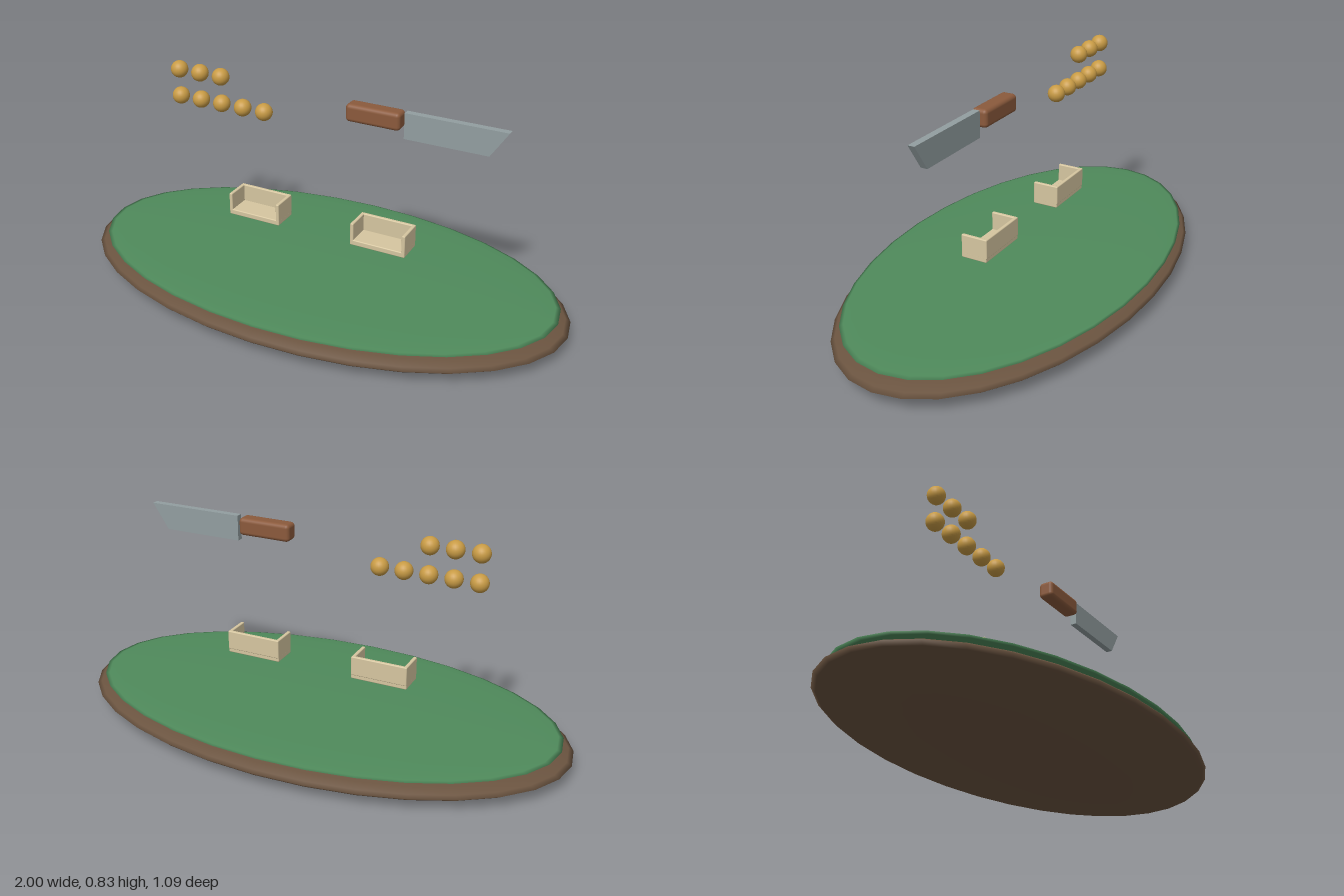
import * as THREE from 'three';
import { RoundedBoxGeometry } from 'three/addons/geometries/RoundedBoxGeometry.js';

const mat = (color) => new THREE.MeshStandardMaterial({ color });

export function createModel() {
  const model = new THREE.Group();
  const add = (name, geometry, material, x, y, z, parent = model) => {
    const mesh = new THREE.Mesh(geometry, material);
    mesh.name = name;
    mesh.position.set(x, y, z);
    parent.add(mesh);
    return mesh;
  };

  // Oval table: flattened ellipsoids for the wooden base and the felt
  const oval = (rx, ry, rz) => new THREE.SphereGeometry(1, 32, 16).scale(rx, ry, rz);
  add('tableBase', oval(1, 0.057, 0.545), mat(0x6b5440), 0, 0.058, 0);
  add('tableFelt', oval(0.96, 0.016, 0.52), mat(0x4f8a5b), 0, 0.105, 0);

  // Two open-fronted trays: floor, back wall and two end walls
  const cream = mat(0xd6c6a0);
  for (const side of [-1, 1]) {
    const tray = new THREE.Group();
    tray.name = side < 0 ? 'rightTray' : 'leftTray';
    tray.position.set(side * 0.267, 0, 0);
    model.add(tray);
    add('trayFloor', new RoundedBoxGeometry(0.225, 0.022, 0.104, 2, 0.004), cream, 0, 0.256, 0, tray);
    add('trayBack', new RoundedBoxGeometry(0.225, 0.076, 0.014, 2, 0.004), cream, 0, 0.298, -0.047, tray);
    for (const end of [-1, 1]) {
      add('trayEnd', new RoundedBoxGeometry(0.014, 0.076, 0.104, 2, 0.004), cream, end * 0.1055, 0.298, 0, tray);
    }
  }

  // Floating balls: a row of five below a row of three
  const gold = mat(0xc89b45);
  const ball = new THREE.SphereGeometry(0.034, 24, 16);
  for (const [count, y] of [[5, 0.692], [3, 0.801]]) {
    for (let i = 0; i < count; i++) add('ball', ball, gold, -0.617 + i * 0.0943, y, 0);
  }

  // Floating knife: rounded handle and a blade with a slanted tip
  const knife = new THREE.Group();
  knife.name = 'knife';
  model.add(knife);
  add('knifeHandle', new RoundedBoxGeometry(0.213, 0.068, 0.062, 3, 0.015), mat(0x8b5a3c), 0.223, 0.769, 0, knife);
  const outline = new THREE.Shape([[0.342, 0.706], [0.66, 0.706], [0.725, 0.805], [0.342, 0.805]]
    .map(([x, y]) => new THREE.Vector2(x, y)));
  const blade = new THREE.ExtrudeGeometry(outline, { depth: 0.026, bevelEnabled: false });
  add('knifeBlade', blade, mat(0x929ea0), 0, 0, -0.013, knife);

  return model;
}
